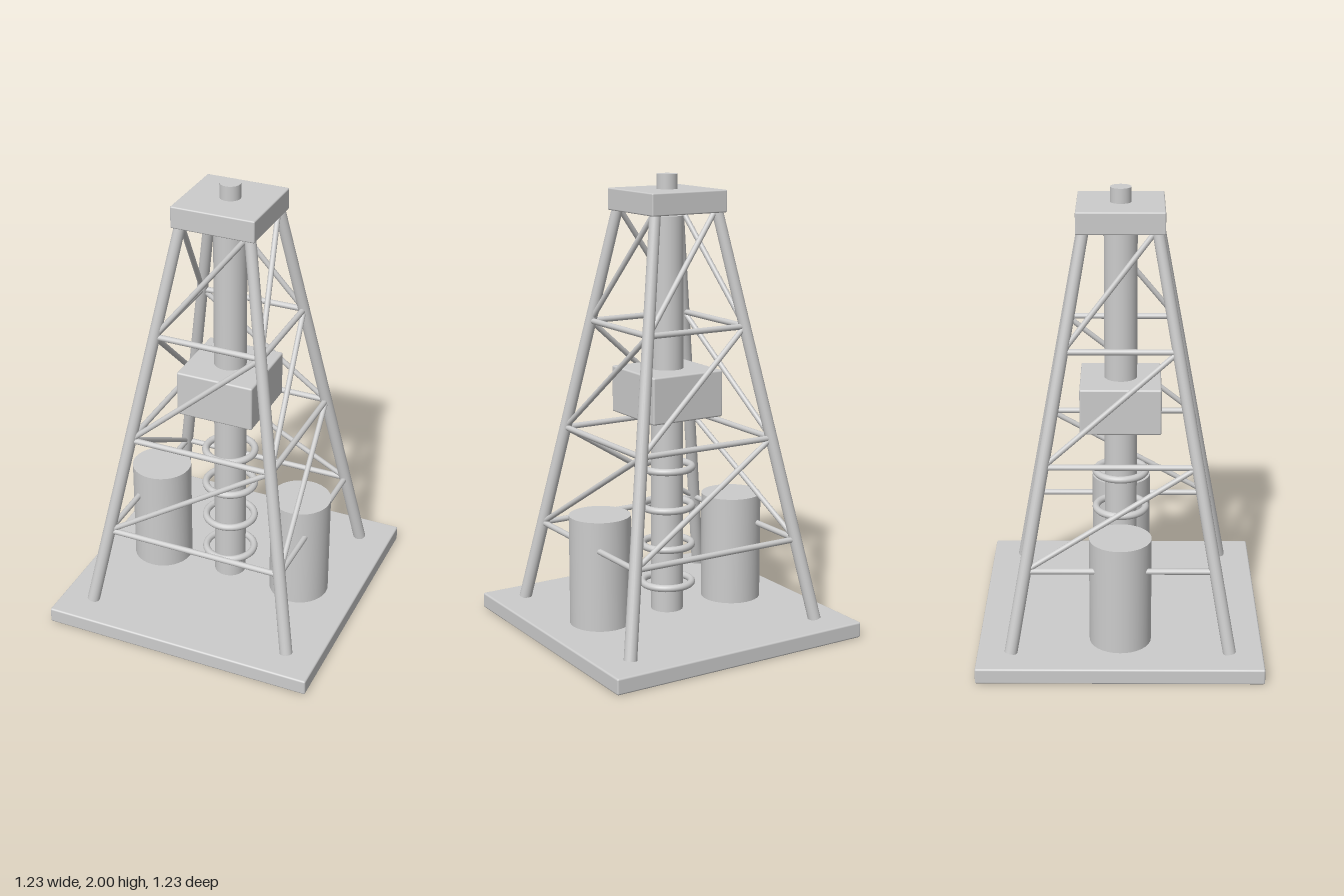
import * as THREE from 'three';
import { RoundedBoxGeometry } from 'three/addons/geometries/RoundedBoxGeometry.js';

export function createModel() {
  const model = new THREE.Group();
  model.name = 'derrick';
  const grey = new THREE.MeshStandardMaterial({ color: 0xcccccc });
  grey.name = 'light grey';

  const add = (name, geometry, x = 0, y = 0, z = 0, parent = model) => {
    const mesh = new THREE.Mesh(geometry, grey);
    mesh.name = name;
    mesh.position.set(x, y, z);
    parent.add(mesh);
    return mesh;
  };

  // Round bar between two points, with a radius at each end
  const bar = (name, a, b, rA, rB, sides, parent) => {
    const dir = b.clone().sub(a);
    const mesh = add(name, new THREE.CylinderGeometry(rB, rA, dir.length(), sides), 0, 0, 0, parent);
    mesh.position.copy(a).add(b).multiplyScalar(0.5);
    mesh.quaternion.setFromUnitVectors(new THREE.Vector3(0, 1, 0), dir.normalize());
  };

  // Base, crown and travelling block
  add('base', new RoundedBoxGeometry(1.23, 0.07, 1.23, 2, 0.008), 0, 0.035, 0);
  add('crown', new RoundedBoxGeometry(0.37, 0.095, 0.37, 2, 0.006), 0, 1.889, 0);
  add('crownPin', new THREE.CylinderGeometry(0.045, 0.045, 0.08, 24), 0, 1.96, 0);
  add('block', new RoundedBoxGeometry(0.35, 0.205, 0.35, 2, 0.008), 0, 1.062, 0);

  // Central column with rings
  add('column', new THREE.CylinderGeometry(0.071, 0.071, 1.765, 32), 0, 0.9425, 0);
  for (let i = 0; i < 4; i++) {
    const ring = add('ring', new THREE.TorusGeometry(0.11, 0.016, 12, 40), 0, 0.194 + i * 0.176, 0);
    ring.rotation.x = Math.PI / 2;
  }

  // Four tower sides: one leg, three girts and three diagonal braces each
  const bottom = 0.07, top = 1.86;
  const corner = (t, side) => {
    const r = THREE.MathUtils.lerp(0.47, 0.152, t);
    return new THREE.Vector3(side * r, THREE.MathUtils.lerp(bottom, top, t), r);
  };
  const levels = [0.2, 0.45, 0.72, 1];
  for (let i = 0; i < 4; i++) {
    const side = new THREE.Group();
    side.name = 'towerSide';
    side.rotation.y = i * Math.PI / 2;
    model.add(side);
    bar('leg', corner(0, 1), corner(1, 1), 0.028, 0.024, 20, side);
    for (let k = 0; k < 3; k++) {
      bar('girt', corner(levels[k], -1), corner(levels[k], 1), 0.013, 0.013, 12, side);
      bar('brace', corner(levels[k], -1), corner(levels[k + 1], 1), 0.012, 0.012, 12, side);
    }
  }

  // Tanks on both sides
  for (const s of [1, -1]) {
    add('tank', new THREE.CylinderGeometry(0.134, 0.134, 0.49, 32), s * 0.342, 0.31, 0);
  }
  return model;
}
